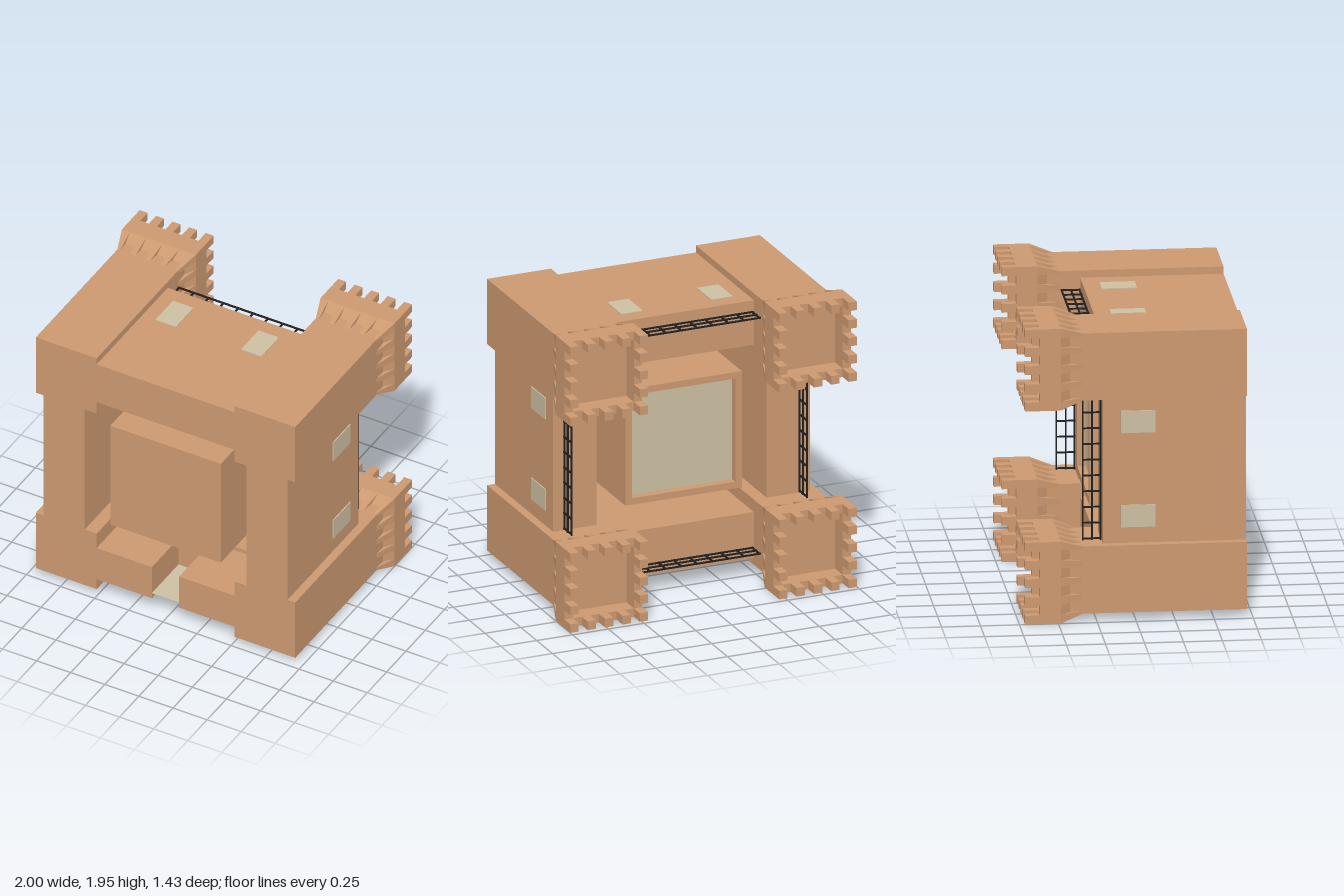
import * as THREE from 'three';
import { ConvexGeometry } from 'three/addons/geometries/ConvexGeometry.js';

const stone = new THREE.MeshStandardMaterial({ color: 0xcc9970, flatShading: true });
const pane = new THREE.MeshStandardMaterial({ color: 0xccbfa2, side: THREE.DoubleSide });
const iron = new THREE.MeshStandardMaterial({ color: 0x202020 });

// Box given by its limits on each axis
function box(parent, name, x0, x1, y0, y1, z0, z1, mat = stone) {
  const mesh = new THREE.Mesh(new THREE.BoxGeometry(x1 - x0, y1 - y0, z1 - z0), mat);
  mesh.position.set((x0 + x1) / 2, (y0 + y1) / 2, (z0 + z1) / 2);
  mesh.name = name;
  parent.add(mesh);
}

const BASE = 0.714, WALK = -0.205, TIP = -0.714;

// Square tower along z with a corbelled, crenellated crown at the -z end
function tower(cx, cy) {
  const g = new THREE.Group();
  g.name = 'tower';
  g.position.set(cx, cy, 0);
  const b = 0.223, c = 0.271, t = 0.058, flare = -0.485, sill = -0.62;
  box(g, 'towerBody', -b, b, -b, b, -0.5, BASE);

  // Splayed underside of the crown
  const splay = new THREE.Mesh(
    new THREE.CylinderGeometry(c * Math.SQRT2, b * Math.SQRT2, 0.065, 4, 1, true), stone);
  splay.geometry.rotateY(Math.PI / 4);
  splay.geometry.rotateX(-Math.PI / 2);
  splay.position.z = flare + 0.0325;
  splay.name = 'crownSplay';
  g.add(splay);

  // Parapet on four sides
  box(g, 'parapet', -c, c, c - t, c, sill, flare);
  box(g, 'parapet', -c, c, -c, -c + t, sill, flare);
  box(g, 'parapet', c - t, c, -c + t, c - t, sill, flare);
  box(g, 'parapet', -c, -c + t, -c + t, c - t, sill, flare);

  // Merlons and corbels, five per side with shared corners
  const step = (2 * c - t) / 4;
  for (let i = 0; i < 5; i++) {
    for (let j = 0; j < 5; j++) {
      const edgeX = i % 4 === 0, edgeY = j % 4 === 0;
      if (!edgeX && !edgeY) continue;
      const x = -c + t / 2 + i * step, y = -c + t / 2 + j * step;
      box(g, 'merlon', x - t / 2, x + t / 2, y - t / 2, y + t / 2, TIP, sill);
      const pts = [];
      for (const sx of [-1, 1]) for (const sy of [-1, 1]) {
        const px = x + sx * t / 2, py = y + sy * t / 2;
        pts.push(new THREE.Vector3(px, py, flare));
        // the foot narrows and meets the tower face
        const fx = edgeX ? Math.sign(x) * (b - (sx < 0 ? 0.02 : 0)) : x * 0.9 + sx * t * 0.3;
        const fy = edgeY ? Math.sign(y) * (b - (sy < 0 ? 0.02 : 0)) : y * 0.9 + sy * t * 0.3;
        pts.push(new THREE.Vector3(fx, fy, -0.34));
      }
      const corbel = new THREE.Mesh(new ConvexGeometry(pts), stone);
      corbel.name = 'corbel';
      g.add(corbel);
    }
  }
  return g;
}

// Railing along local x, standing towards -z
function railing(length) {
  const g = new THREE.Group();
  g.name = 'railing';
  const h = length / 2, r = 0.005;
  for (const z of [-0.212, -0.266, -0.326]) box(g, 'rail', -h, h, -r, r, z - r, z + r, iron);
  for (let i = 0; i < 10; i++) {
    const x = -h + 0.01 + (i * (length - 0.02)) / 9;
    box(g, 'railPost', x - r, x + r, -r, r, -0.33, WALK, iron);
  }
  return g;
}

export function createModel() {
  const model = new THREE.Group();
  model.name = 'castle';

  for (const x of [-0.728, 0.728]) for (const y of [0.272, 1.685]) model.add(tower(x, y));

  // Side walls with windows and railings
  for (const s of [-1, 1]) {
    const side = new THREE.Group();
    side.name = 'sideWall';
    const a = s * 0.593, o = s * 0.895, w = s * 0.902;
    box(side, 'wall', Math.min(a, o), Math.max(a, o), 0.49, 1.47, WALK, BASE);
    for (const y of [0.6, 1.225]) {
      box(side, 'window', Math.min(o, w), Math.max(o, w), y, y + 0.147, -0.09, 0.133, pane);
    }
    const rail = railing(0.96);
    rail.rotation.z = Math.PI / 2;
    rail.position.set(s * 0.82, 0.98, 0);
    side.add(rail);
    model.add(side);
  }

  // Rear wall with two windows
  box(model, 'rearWall', -0.51, 0.51, 1.556, 1.86, WALK, BASE);
  for (const x of [-0.405, 0.222]) box(model, 'window', x, x + 0.15, 1.86, 1.866, -0.098, 0.13, pane);

  // Gate wall: wide upper part, thinner lower part split by the gateway
  const ledge = 0.3, lintel = 0.37;
  box(model, 'gateWallUpper', -0.51, 0.51, 0.095, 0.41, WALK, ledge);
  box(model, 'gateLintel', -0.1, 0.1, 0.13, 0.38, ledge, lintel);
  box(model, 'gateWallLower', -0.51, -0.1, 0.13, 0.38, ledge, BASE);
  box(model, 'gateWallLower', 0.1, 0.51, 0.13, 0.38, ledge, BASE);
  box(model, 'gateDoor', -0.1, 0.1, 0.169, 0.171, lintel, BASE, pane);

  for (const y of [0.17, 1.785]) {
    const rail = railing(1.0);
    rail.position.y = y;
    model.add(rail);
  }

  // Central keep with a raised rim around its recessed roof
  const k = 0.405, n = 0.36, y0 = 0.608, y1 = 1.404, m = 0.045;
  box(model, 'keepBody', -k, k, y0, y1, -0.18, BASE);
  box(model, 'keepRim', -k, k, y0, y0 + m, -0.24, -0.18);
  box(model, 'keepRim', -k, k, y1 - m, y1, -0.24, -0.18);
  box(model, 'keepRim', -k, -n, y0 + m, y1 - m, -0.24, -0.18);
  box(model, 'keepRim', n, k, y0 + m, y1 - m, -0.24, -0.18);
  box(model, 'keepRoof', -n, n, y0 + m, y1 - m, -0.185, -0.18, pane);

  return model;
}
